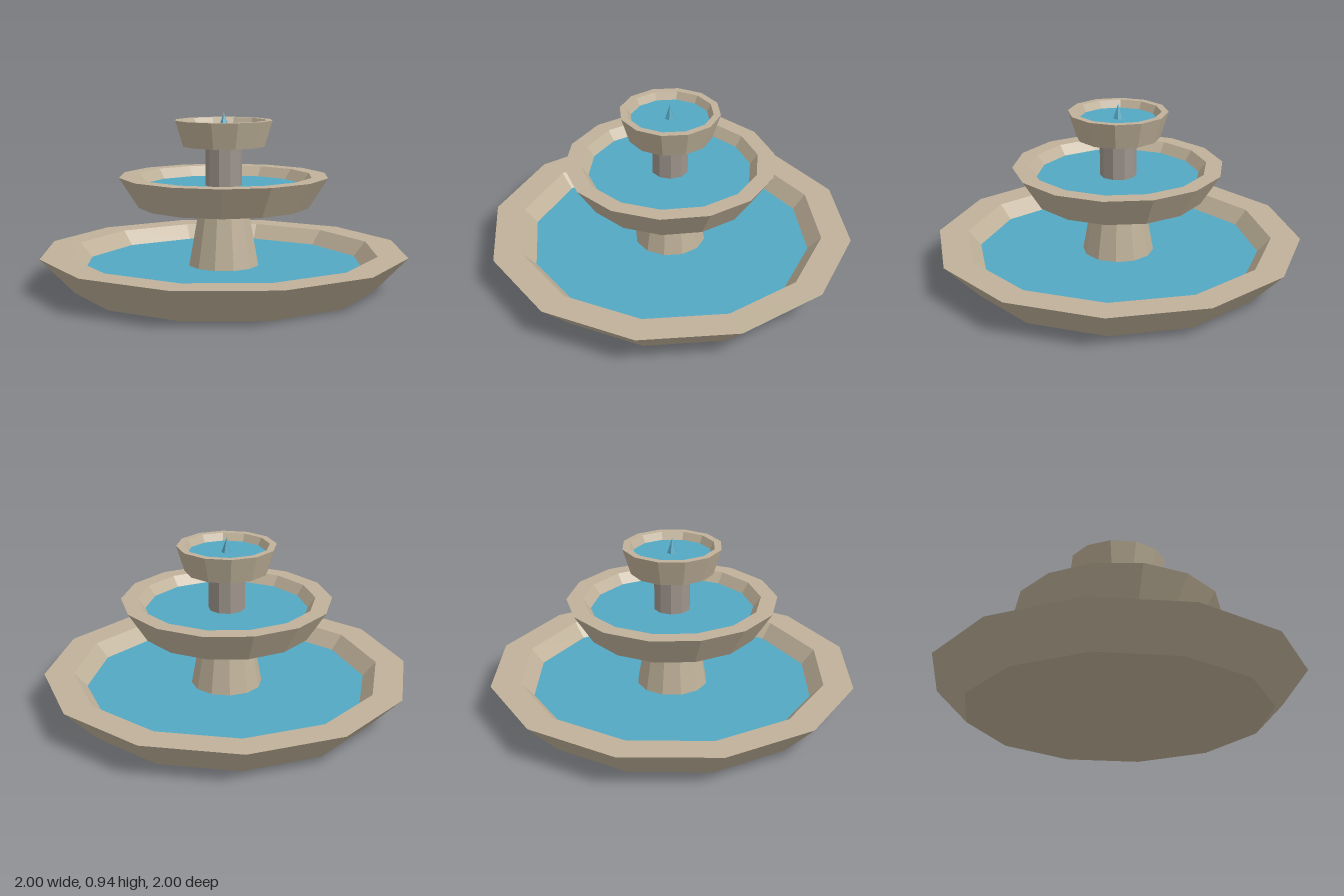
import * as THREE from 'three';

export function createModel() {
  const model = new THREE.Group();
  model.name = 'tieredFountain';

  const material = (name, color) => {
    const m = new THREE.MeshStandardMaterial({ color, flatShading: true });
    m.name = name;
    return m;
  };
  const stone = material('sandStone', 0xbfb199);
  const greyStone = material('greyStone', 0x9e948c);
  const water = material('water', 0x54a8c3);

  const add = (parent, name, geometry, mat) => {
    const mesh = new THREE.Mesh(geometry, mat);
    mesh.name = name;
    parent.add(mesh);
    return mesh;
  };

  // Faceted solid of revolution; profile runs from the bottom up and over the rim
  const turned = (profile, sides, turn) =>
    new THREE.LatheGeometry(profile.map(([r, y]) => new THREE.Vector2(r, y)), sides, turn);

  // Bowl with a flat rim, a sloping inner wall and a pool of water
  function addTier({ name, sides, turn = 0, y0, y1, waterY, foot, outer, inner, pool }) {
    const tier = new THREE.Group();
    tier.name = name;
    add(tier, name + 'Bowl', turned(
      [[0, y0], [foot, y0], [outer, y1], [inner, y1], [pool, waterY]], sides, turn), stone);
    add(tier, name + 'Water', turned([[pool, waterY], [0, waterY]], sides, turn), water);
    model.add(tier);
  }

  addTier({ name: 'basin', sides: 12, y0: 0, y1: 0.19, waterY: 0.11,
    foot: 0.82, outer: 1, inner: 0.84, pool: 0.77 });
  addTier({ name: 'middleTier', sides: 14, turn: Math.PI / 2, y0: 0.435, y1: 0.6, waterY: 0.545,
    foot: 0.465, outer: 0.57, inner: 0.48, pool: 0.44 });
  addTier({ name: 'topTier', sides: 12, y0: 0.76, y1: 0.9, waterY: 0.86,
    foot: 0.225, outer: 0.268, inner: 0.23, pool: 0.21 });

  // Columns between the tiers
  function addColumn(name, rTop, rBottom, y0, y1, sides, mat) {
    const column = add(model, name, new THREE.CylinderGeometry(rTop, rBottom, y1 - y0, sides), mat);
    column.position.y = (y0 + y1) / 2;
  }
  addColumn('lowerColumn', 0.135, 0.195, 0.105, 0.437, 12, stone);
  addColumn('upperColumn', 0.099, 0.099, 0.54, 0.762, 10, greyStone);

  // Water jet
  const jet = add(model, 'waterJet', new THREE.ConeGeometry(0.03, 0.085, 6), water);
  jet.position.y = 0.8975;

  return model;
}
